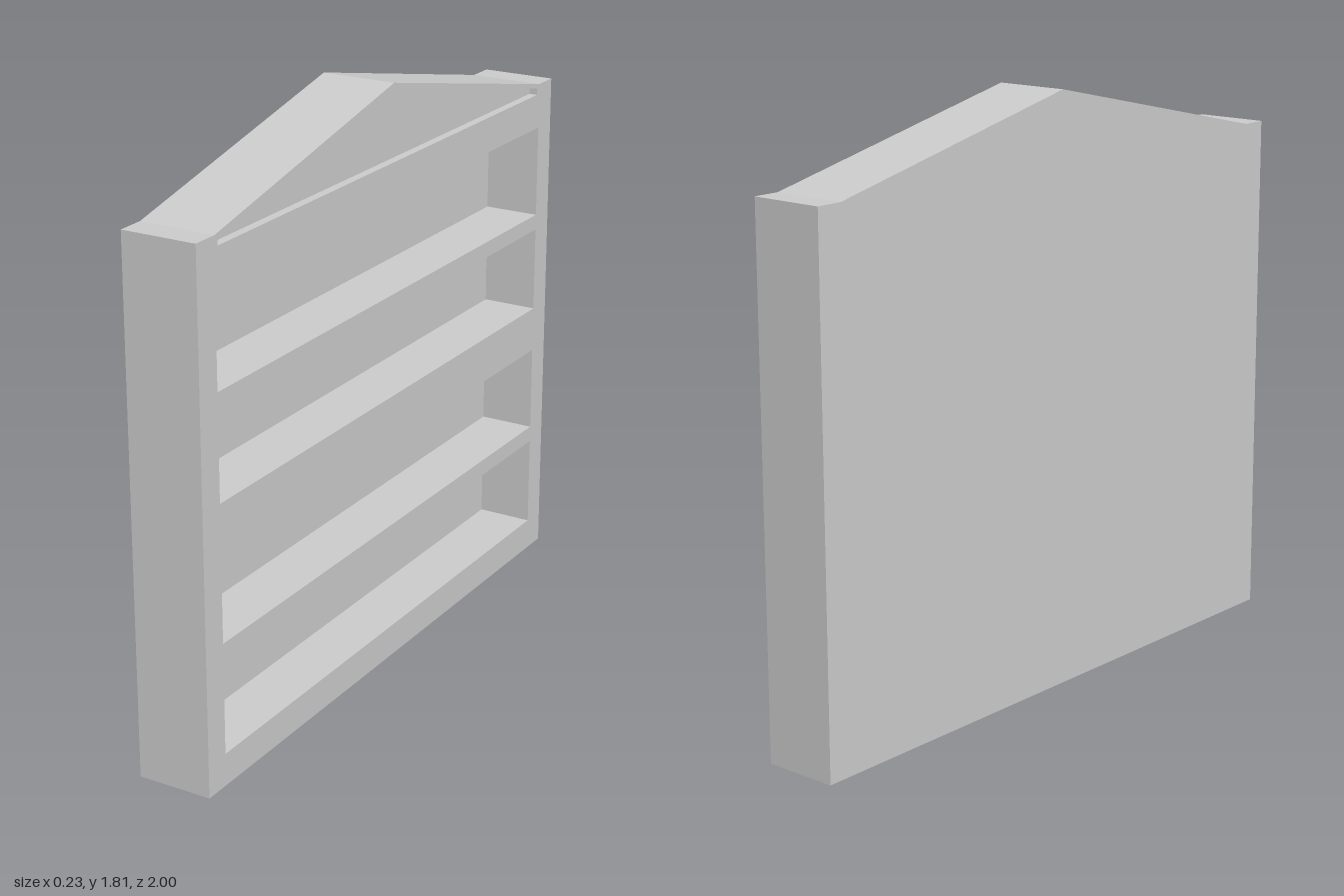
import * as THREE from 'three';

const material = new THREE.MeshStandardMaterial({ color: 0xcccccc, flatShading: true });

const HALF = 0.117;       // half thickness of the unit
const SHELF_BACK = -0.06; // x of the wall behind the shelves
const GABLE_BACK = 0.09;  // x of the sunken gable panel

// Closed outline from (z, y) points
function outline(points, Type) {
  return new Type(points.map(([z, y]) => new THREE.Vector2(z, y)));
}

// Gabled silhouette extruded along x, pierced by the given openings
function layer(name, x0, x1, openings) {
  const shape = outline([
    [-1, 0], [1, 0], [1, 1.612], [0.915, 1.612],
    [0, 1.814], [-0.915, 1.612], [-1, 1.612],
  ], THREE.Shape);
  shape.holes.push(...openings);
  const geometry = new THREE.ExtrudeGeometry(shape, { depth: x1 - x0, bevelEnabled: false });
  geometry.rotateY(Math.PI / 2);
  geometry.translate(x0, 0, 0);
  const mesh = new THREE.Mesh(geometry, material);
  mesh.name = name;
  return mesh;
}

export function createModel() {
  const group = new THREE.Group();
  group.name = 'gabledShelf';

  // Four wide compartments, bottom to top
  const compartments = [[0.1, 0.39], [0.442, 0.715], [0.86, 1.13], [1.18, 1.47]].map(([y0, y1]) =>
    outline([[-0.917, y0], [-0.917, y1], [0.917, y1], [0.917, y0]], THREE.Path));

  // Shallow recess inside the gable
  const gable = outline([
    [-0.902, 1.58], [-0.902, 1.601], [0, 1.8], [0.902, 1.601], [0.902, 1.58],
  ], THREE.Path);

  group.add(
    layer('backPanel', -HALF, SHELF_BACK, []),
    layer('shelfFrame', SHELF_BACK, GABLE_BACK, compartments),
    layer('frontFrame', GABLE_BACK, HALF, [...compartments, gable]),
  );
  return group;
}
